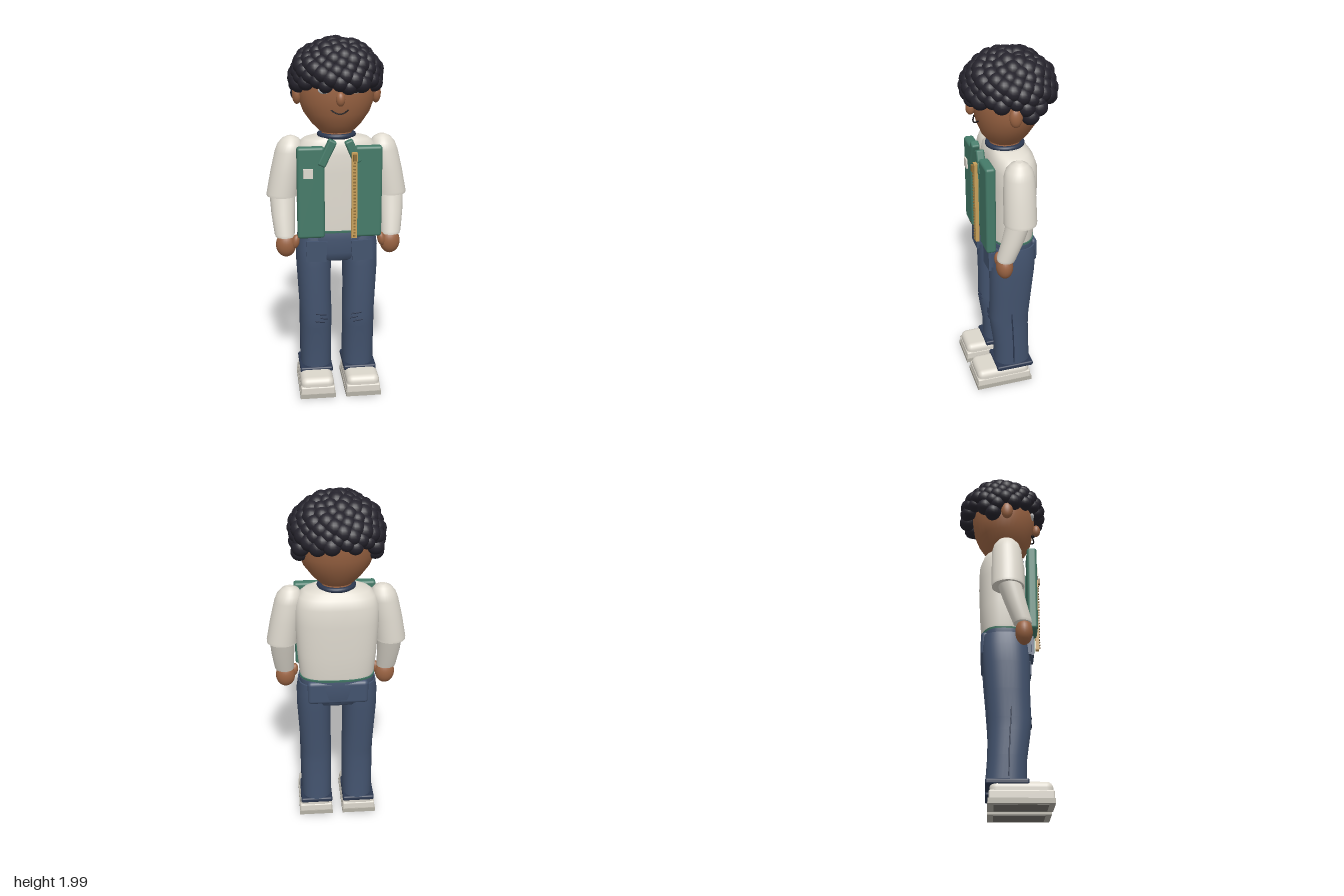
import * as THREE from 'three';
import { mergeGeometries } from 'three/addons/utils/BufferGeometryUtils.js';
import { RoundedBoxGeometry } from 'three/addons/geometries/RoundedBoxGeometry.js';

const mat = (color) => new THREE.MeshStandardMaterial({ color, roughness: 0.8, side: THREE.DoubleSide });
const M = {
  skin: mat(0x9b6443), hair: mat(0x25232c), cream: mat(0xe0dbd0), green: mat(0x447a68),
  denim: mat(0x43536e), navy: mat(0x2c3850), shoe: mat(0xdcd7cc), sole: mat(0xb5b1a6),
  tread: mat(0x77746e), brass: mat(0xc9a05a), dark: mat(0x1d1a1c), white: mat(0xf0f0ee),
};

// Closed body through horizontal superellipse sections, listed bottom to top:
// [y, centre x, centre z, radius x, radius z]
function loft(rows, power = 2, seg = 40) {
  const first = rows[0], last = rows[rows.length - 1];
  const all = [[...first.slice(0, 3), 0, 0], first, ...rows, last, [...last.slice(0, 3), 0, 0]];
  const pos = [], idx = [];
  const bend = (v) => Math.sign(v) * Math.abs(v) ** (2 / power);
  for (const [y, cx, cz, rx, rz] of all)
    for (let j = 0; j < seg; j++) {
      const a = (j / seg) * Math.PI * 2;
      pos.push(cx + rx * bend(Math.cos(a)), y, cz + rz * bend(Math.sin(a)));
    }
  for (let i = 0; i < all.length - 1; i++)
    for (let j = 0; j < seg; j++) {
      const a = i * seg + j, b = i * seg + (j + 1) % seg;
      idx.push(a, a + seg, b, b, a + seg, b + seg);
    }
  const g = new THREE.BufferGeometry();
  g.setAttribute('position', new THREE.Float32BufferAttribute(pos, 3));
  g.setIndex(idx);
  g.computeVertexNormals();
  return g;
}

const ball = (rx, ry, rz) => new THREE.SphereGeometry(1, 24, 16).scale(rx, ry, rz);
const rbox = (w, h, d, r = 0.015) => new RoundedBoxGeometry(w, h, d, 3, r);
const box = (w, h, d) => new THREE.BoxGeometry(w, h, d);
const tube = (pts, r) =>
  new THREE.TubeGeometry(new THREE.CatmullRomCurve3(pts.map((p) => new THREE.Vector3(...p))), 16, r, 6);

export function createModel() {
  const model = new THREE.Group();
  model.name = 'character';
  const add = (name, geo, material, x = 0, y = 0, z = 0, rz = 0, rx = 0) => {
    const m = new THREE.Mesh(geo, material);
    m.name = name;
    m.position.set(x, y, z);
    m.rotation.set(rx, 0, rz);
    model.add(m);
    return m;
  };

  // Head, neck and face
  add('head', loft([
    [1.48, 0, 0.02, 0.06, 0.06], [1.5, 0, 0.02, 0.095, 0.09], [1.54, 0, 0.02, 0.135, 0.125],
    [1.6, 0, 0.015, 0.178, 0.155], [1.66, 0, 0.01, 0.2, 0.173], [1.73, 0, 0.01, 0.21, 0.183],
    [1.8, 0, 0.005, 0.2, 0.18], [1.88, 0, 0, 0.16, 0.15], [1.93, 0, 0, 0.1, 0.1],
  ]), M.skin);
  add('neck', new THREE.CylinderGeometry(0.08, 0.085, 0.1, 32), M.skin, 0, 1.475, 0.02);
  add('nose', ball(0.024, 0.037, 0.024), M.skin, 0, 1.69, 0.205);
  add('mouth', tube([[-0.045, 1.63, 0.172], [-0.022, 1.616, 0.185], [0, 1.611, 0.189],
    [0.022, 1.616, 0.185], [0.045, 1.63, 0.172]], 0.004), M.dark);

  // Curly hair: a cap covered in evenly spread balls
  add('hairCap', new THREE.SphereGeometry(1, 40, 20, 0, Math.PI * 2, 0, Math.PI * 0.53)
    .scale(0.225, 0.175, 0.225), M.hair, 0, 1.78, 0);
  const curls = [], count = 122;
  for (let i = 0; i < count; i++) {
    const v = 1 - (i / (count - 1)) * 1.16;
    const r = Math.sqrt(1 - v * v), a = i * 2.39996;
    const size = 0.044 + 0.005 * Math.sin(i * 7.3);
    curls.push(new THREE.SphereGeometry(size, 18, 12)
      .translate(Math.cos(a) * r * 0.213, 1.78 + v * 0.168, Math.sin(a) * r * 0.213));
  }
  for (const s of [-1, 1])
    for (const [x, y, z] of [[0.195, 1.69, -0.055], [0.205, 1.74, -0.03], [0.19, 1.73, -0.1]])
      curls.push(new THREE.SphereGeometry(0.047, 18, 12).translate(s * x, y, z));
  add('hairCurls', mergeGeometries(curls), M.hair);

  // Shirt body, collar ring and vest hem
  add('shirtBody', loft([
    [0.93, 0, 0.01, 0.195, 0.115], [0.97, 0, 0.008, 0.21, 0.122], [1.1, 0, 0.003, 0.22, 0.127],
    [1.28, 0, 0.001, 0.23, 0.132], [1.38, 0, 0.001, 0.228, 0.13], [1.43, 0, 0.006, 0.208, 0.118],
    [1.455, 0, 0.012, 0.175, 0.1], [1.47, 0, 0.02, 0.12, 0.085],
  ], 2.7, 56), M.cream);
  add('collarRing', new THREE.TorusGeometry(0.092, 0.014, 10, 40).rotateX(Math.PI / 2), M.navy, 0, 1.476, 0.02);
  add('vestHem', loft([[0.945, 0, 0.008, 0.209, 0.124], [0.957, 0, 0.008, 0.211, 0.126]], 2.7), M.green);

  // Vest fronts, lapels, patch and zip
  for (const s of [-1, 1])
    add('vestFront', rbox(0.147, 0.5, 0.055), M.green, s * 0.154, 1.188, 0.162);
  add('lapelRight', rbox(0.046, 0.15, 0.045, 0.01), M.green, -0.068, 1.405, 0.173, -0.45);
  add('lapelLeft', rbox(0.046, 0.13, 0.045, 0.01), M.green, 0.07, 1.41, 0.173, 0.4);
  add('patch', box(0.05, 0.052, 0.012), M.cream, -0.17, 1.3, 0.192);
  add('zipTape', box(0.03, 0.47, 0.02), M.brass, 0.075, 1.176, 0.203);
  const teeth = [];
  for (let i = 0; i < 26; i++)
    teeth.push(box(0.012, 0.007, 0.008).translate(0.075, 0.955 + i * 0.0175, 0.216));
  add('zipTeeth', mergeGeometries(teeth), mat(0x8f6f38));
  add('zipPull', box(0.02, 0.035, 0.014), mat(0x8f6f38), 0.075, 1.385, 0.22);

  // Hips with a rear yoke
  add('hips', loft([
    [0.775, 0, 0.015, 0.13, 0.09], [0.79, 0, 0.013, 0.165, 0.115], [0.83, 0, 0.01, 0.195, 0.128],
    [0.91, 0, 0.01, 0.212, 0.13], [0.945, 0, 0.01, 0.212, 0.124],
  ], 2.8), M.denim);
  add('rearYoke', rbox(0.34, 0.14, 0.05, 0.022), M.denim, 0, 0.875, -0.092);

  for (const s of [-1, 1]) {
    // Ear and eye
    add('ear', ball(0.026, 0.053, 0.034), M.skin, s * 0.212, 1.695, 0.025);
    add('eyeWhite', ball(0.033, 0.021, 0.014), M.white, s * 0.08, 1.735, 0.176);
    add('iris', ball(0.016, 0.017, 0.008), M.dark, s * 0.08, 1.735, 0.188);

    // Arm: wide upper sleeve, narrower forearm, hand with thumb
    add('upperSleeve', loft([
      [1.145, s * 0.3, 0.027, 0.085, 0.087], [1.16, s * 0.3, 0.027, 0.085, 0.088],
      [1.28, s * 0.28, 0.025, 0.082, 0.086], [1.39, s * 0.258, 0.022, 0.078, 0.081],
      [1.43, s * 0.252, 0.021, 0.068, 0.069], [1.458, s * 0.25, 0.02, 0.046, 0.046],
      [1.472, s * 0.25, 0.02, 0.018, 0.018],
    ], 2, 32), M.cream);
    add('forearmSleeve', loft([
      [0.93, s * 0.292, 0.103, 0.052, 0.048], [0.945, s * 0.294, 0.1, 0.055, 0.051],
      [1.05, s * 0.299, 0.066, 0.064, 0.058], [1.16, s * 0.3, 0.034, 0.07, 0.064],
    ], 2, 32), M.cream);
    add('hand', ball(0.056, 0.07, 0.046), M.skin, s * 0.288, 0.885, 0.11);
    add('thumb', ball(0.022, 0.04, 0.024), M.skin, s * 0.237, 0.905, 0.128, s * 0.2);

    // Trouser leg, front pocket, side seam and knee creases
    add('trouserLeg', loft([
      [0.115, s * 0.122, 0.018, 0.088, 0.105], [0.25, s * 0.122, 0.024, 0.089, 0.102],
      [0.38, s * 0.122, 0.034, 0.089, 0.11], [0.45, s * 0.122, 0.036, 0.09, 0.114],
      [0.6, s * 0.128, 0.028, 0.092, 0.118], [0.75, s * 0.131, 0.022, 0.097, 0.126],
      [0.85, s * 0.13, 0.016, 0.098, 0.126], [0.92, s * 0.128, 0.012, 0.09, 0.118],
    ], 2.4), M.denim);
    add('frontPocket', box(0.112, 0.115, 0.014), M.denim, s * 0.125, 0.853, 0.16, s * 0.06);
    add('pocketBacking', box(0.09, 0.09, 0.04), M.denim, s * 0.125, 0.855, 0.135);
    add('sideSeam', tube([[s * 0.21, 0.14, 0.03], [s * 0.211, 0.3, 0.034], [s * 0.212, 0.5, 0.045]], 0.004), M.navy);
    for (const [x, y, w] of [[0.1, 0.47, 0.03], [0.085, 0.445, 0.022], [0.108, 0.425, 0.028]])
      add('kneeCrease', tube([[s * (x - w), y - 0.004, 0.147], [s * x, y, 0.15], [s * (x + w), y + 0.004, 0.147]], 0.004), M.navy);

    // Cuff and shoe
    add('cuff', rbox(0.188, 0.03, 0.22, 0.01), M.navy, s * 0.126, 0.113, 0.022);
    add('shoeUpper', rbox(0.188, 0.1, 0.315, 0.035), M.shoe, s * 0.13, 0.066, 0.092);
    add('shoeSide', rbox(0.192, 0.05, 0.322, 0.008), M.shoe, s * 0.13, 0.044, 0.092);
    add('sole', box(0.2, 0.026, 0.332), M.sole, s * 0.13, 0.015, 0.091);
    add('tread', box(0.15, 0.01, 0.27), M.tread, s * 0.13, 0.005, 0.091);
  }
  return model;
}
